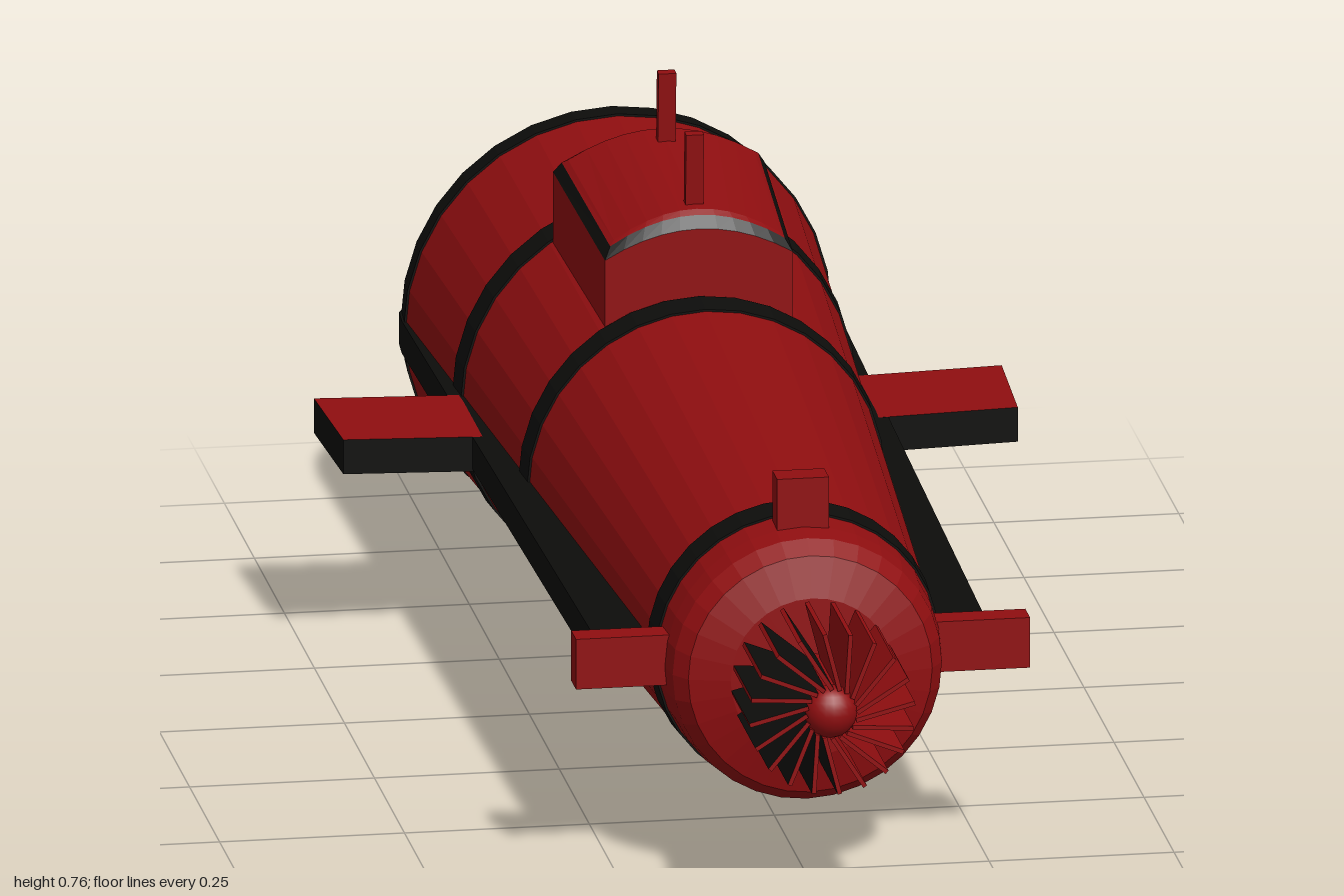
import * as THREE from 'three';

const red = new THREE.MeshStandardMaterial({ color: 0x900e10, side: THREE.DoubleSide });
red.name = 'hullRed';
const black = new THREE.MeshStandardMaterial({ color: 0x0d0d0b, side: THREE.DoubleSide });
black.name = 'trimBlack';

const AXIS = 0.29; // height of the hull's centre line

// hull outline as [radius, z]
const HULL = [[0, -1], [0.05, -0.998], [0.115, -0.978], [0.2, -0.943], [0.25, -0.915], [0.272, -0.885],
  [0.284, -0.85], [0.287, -0.81], [0.187, 0.74], [0.182, 0.775], [0.165, 0.8], [0.11, 0.815], [0, 0.818]];

function hullRadius(z) {
  const i = Math.max(1, HULL.findIndex((p) => p[1] >= z));
  const [r0, z0] = HULL[i - 1], [r1, z1] = HULL[i];
  return r0 + (r1 - r0) * (z - z0) / (z1 - z0);
}

export function createModel() {
  const model = new THREE.Group();

  function add(name, geometry, material, x = 0, y = 0, z = 0) {
    const mesh = new THREE.Mesh(geometry, material);
    mesh.name = name;
    mesh.position.set(x, y, z);
    model.add(mesh);
    return mesh;
  }

  function flat(geometry) {
    const g = geometry.index ? geometry.toNonIndexed() : geometry;
    g.computeVertexNormals();
    return g;
  }

  // turned shape lying along z
  function turned(points, segments = 32, start = 0, length = Math.PI * 2) {
    const g = new THREE.LatheGeometry(points.map(([r, z]) => new THREE.Vector2(r, z)), segments, start, length);
    return flat(g.rotateX(Math.PI / 2));
  }

  // surface from a list of four-cornered faces
  function quads(list) {
    const pos = [];
    for (const [a, b, c, d] of list) pos.push(...a, ...b, ...c, ...a, ...c, ...d);
    const g = new THREE.BufferGeometry();
    g.setAttribute('position', new THREE.Float32BufferAttribute(pos, 3));
    g.computeVertexNormals();
    return g;
  }

  // hull and its black hoops
  add('hull', turned(HULL), red, 0, AXIS);
  for (const [z0, z1] of [[-0.915, -0.897], [-0.855, -0.805], [-0.515, -0.465], [-0.12, -0.07], [0.645, 0.695]]) {
    const lift = 0.003;
    add('hoop', turned([[hullRadius(z0), z0], [hullRadius(z0) + lift, z0],
      [hullRadius(z1) + lift, z1], [hullRadius(z1), z1]]), black, 0, AXIS);
  }

  // window in the rounded end
  const pane = [-0.972, -0.943, -0.935].map((z) => [hullRadius(z) + 0.003, z - 0.003]);
  add('noseWindow', turned(pane, 8, Math.PI - 0.52, 1.04), black, 0, AXIS);

  for (const s of [-1, 1]) {
    // stripe along the side
    const path = [-0.93, -0.9, -0.85, -0.81, 0.65];
    const stripe = new THREE.Shape();
    path.forEach((z, i) => stripe[i ? 'lineTo' : 'moveTo'](s * (Math.max(hullRadius(z), 0.26) + 0.004), z));
    path.reverse().forEach((z) => stripe.lineTo(s * (hullRadius(z) - 0.02), z));
    const band = new THREE.ExtrudeGeometry(stripe, { depth: 0.045, bevelEnabled: false });
    add('sideStripe', band.rotateX(Math.PI / 2), black, 0, 0.303);

    // side plane: red top and bottom, black edges
    const plane = new THREE.BoxGeometry(0.235, 0.048, 0.19);
    const p = plane.attributes.position;
    for (let i = 0; i < p.count; i++) {
      const outer = p.getX(i) * s > 0;
      p.setY(i, p.getY(i) + (outer ? 0.003 : -0.003));
      if (outer && p.getZ(i) > 0) p.setX(i, p.getX(i) - s * 0.009);
    }
    plane.computeVertexNormals();
    add('sidePlane', plane, [black, black, red, red, black, black], s * 0.3475, 0.281, -0.375);

    add('sideStabiliser', new THREE.BoxGeometry(0.16, 0.07, 0.04), red, s * 0.227, 0.3, 0.72);
  }
  add('topStabiliser', new THREE.BoxGeometry(0.07, 0.12, 0.04), red, 0, 0.485, 0.72);

  // tower: u runs across, v runs from the +z end to the -z end
  const N = 10;
  const towerPoint = (u, v, drop, scale) => [
    u * (0.127 + 0.016 * v) * scale,
    drop === null ? 0.42 : 0.635 + 0.022 * v - 0.038 * u * u + drop,
    -0.295 + (0.5 - v) * 0.335 * scale];
  const ring = (drop, scale) => {
    const pts = [];
    for (let i = 0; i <= N; i++) pts.push(towerPoint(-1 + 2 * i / N, 0, drop, scale));
    for (let i = 0; i <= N; i++) pts.push(towerPoint(1 - 2 * i / N, 1, drop, scale));
    return pts;
  };
  const skirt = (a, b) => quads(a.map((p, i) => {
    const j = (i + 1) % a.length;
    return [p, a[j], b[j], b[i]];
  }));
  const base = ring(null, 1), wallTop = ring(-0.008, 1), trimTop = ring(0.008, 0.93), roofEdge = ring(0.014, 0.88);
  add('towerWall', skirt(base, wallTop), red);
  add('towerTrim', skirt(wallTop, trimTop), black);
  add('towerRoofEdge', skirt(trimTop, roofEdge), red);
  const roof = [];
  for (let i = 0; i < N; i++) {
    roof.push([roofEdge[i], roofEdge[i + 1], roofEdge[2 * N - i], roofEdge[2 * N + 1 - i]]);
  }
  add('towerRoof', quads(roof), red);

  // curved window on the tower's -z wall
  const glass = [];
  for (let i = 0; i < 8; i++) {
    const at = (k, drop) => {
      const q = towerPoint(0.8 - 0.2 * k, 1, drop, 1);
      return [q[0], q[1], q[2] - 0.003];
    };
    glass.push([at(i, -0.065), at(i + 1, -0.065), at(i + 1, -0.02), at(i, -0.02)]);
  }
  add('towerWindow', quads(glass), black);

  // two masts
  for (const [y, z] of [[0.69, -0.17], [0.705, -0.4]]) {
    const mast = add('mast', new THREE.BoxGeometry(0.024, 0.118, 0.015), red, 0, y, z);
    mast.rotation.x = 0.06;
  }

  // propeller: hub and thin blades, black on one face
  add('propellerShaft', new THREE.CylinderGeometry(0.034, 0.034, 0.16, 20).rotateX(Math.PI / 2), red, 0, AXIS, 0.89);
  add('propellerCap', new THREE.SphereGeometry(0.036, 20, 12).scale(1, 1, 0.85), red, 0, AXIS, 0.969);
  const blade = new THREE.BoxGeometry(0.082, 0.006, 0.15);
  const BLADES = 20;
  for (let i = 0; i < BLADES; i++) {
    const a = i / BLADES * Math.PI * 2;
    const mesh = add('propellerBlade', blade, [red, red, red, black, red, red],
      Math.cos(a) * 0.072, AXIS + Math.sin(a) * 0.072, 0.91);
    mesh.rotation.z = a + 0.25;
  }

  return model;
}
